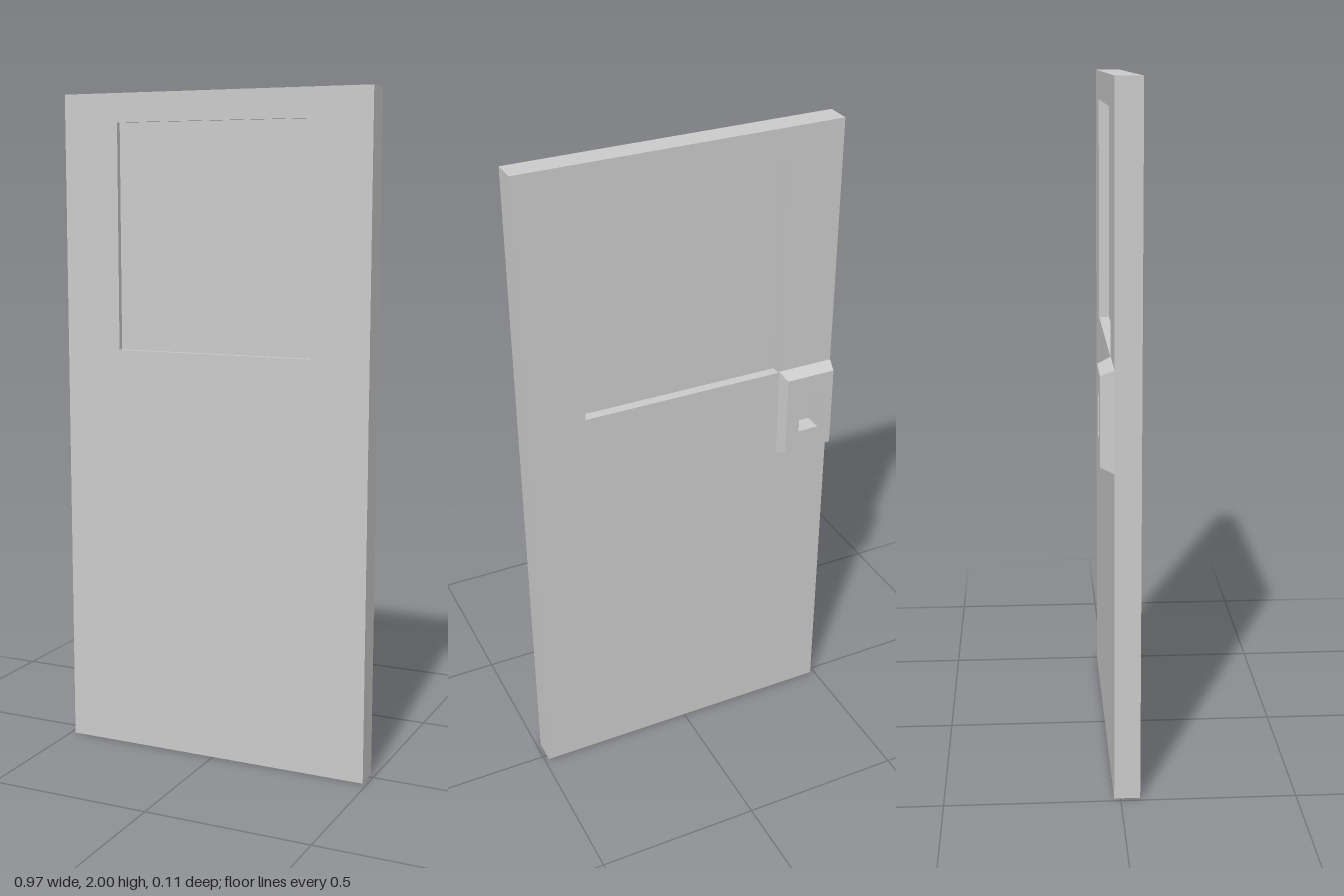
import * as THREE from 'three';

const material = new THREE.MeshStandardMaterial({ color: 0xcccccc, flatShading: true });

// Rectangles are [x0, x1, y0, y1]
const DOOR = [-0.487, 0.487, 0, 2];
const WINDOW = [-0.31, 0.31, 1.242, 1.915];
const POCKET = [-0.433, -0.367, 1.043, 1.16];

function rectPath(path, [x0, x1, y0, y1]) {
  path.moveTo(x0, y0);
  path.lineTo(x1, y0);
  path.lineTo(x1, y1);
  path.lineTo(x0, y1);
  path.closePath();
  return path;
}

function slab(name, outline, holes, z0, z1) {
  const shape = rectPath(new THREE.Shape(), outline);
  for (const hole of holes) shape.holes.push(rectPath(new THREE.Path(), hole));
  const geometry = new THREE.ExtrudeGeometry(shape, { depth: z1 - z0, bevelEnabled: false });
  geometry.translate(0, 0, z0);
  const mesh = new THREE.Mesh(geometry, material);
  mesh.name = name;
  return mesh;
}

// Joins successive rectangles [rect, z] into flat-sided walls facing -z
function loftRects(name, rings) {
  const loops = rings.map(([[x0, x1, y0, y1], z]) =>
    [[x1, y0, z], [x0, y0, z], [x0, y1, z], [x1, y1, z]]);
  const points = [];
  for (let r = 0; r < loops.length - 1; r++) {
    for (let i = 0; i < 4; i++) {
      const j = (i + 1) % 4;
      const [a, b, c, d] = [loops[r][i], loops[r][j], loops[r + 1][j], loops[r + 1][i]];
      points.push(...a, ...b, ...c, ...a, ...c, ...d);
    }
  }
  const geometry = new THREE.BufferGeometry();
  geometry.setAttribute('position', new THREE.Float32BufferAttribute(points, 3));
  geometry.computeVertexNormals();
  const mesh = new THREE.Mesh(geometry, material);
  mesh.name = name;
  return mesh;
}

export function createModel() {
  const door = new THREE.Group();
  door.name = 'door';

  // Door leaf: the rear layer is also pierced by the handle pocket
  door.add(slab('frontLeaf', DOOR, [WINDOW], 0, 0.056));
  door.add(slab('rearLeaf', DOOR, [WINDOW, POCKET], -0.018, 0));

  // Window pane, set closer to the front face
  door.add(slab('windowPane', WINDOW, [], 0.013, 0.04));

  // Bevelled handle block on the back: sloped sides, face, pocket walls
  door.add(loftRects('handleBlock', [
    [[-0.487, -0.312, 0.96, 1.245], -0.018],
    [[-0.478, -0.323, 0.977, 1.228], -0.056],
    [POCKET, -0.056],
    [POCKET, -0.018],
  ]));

  return door;
}
